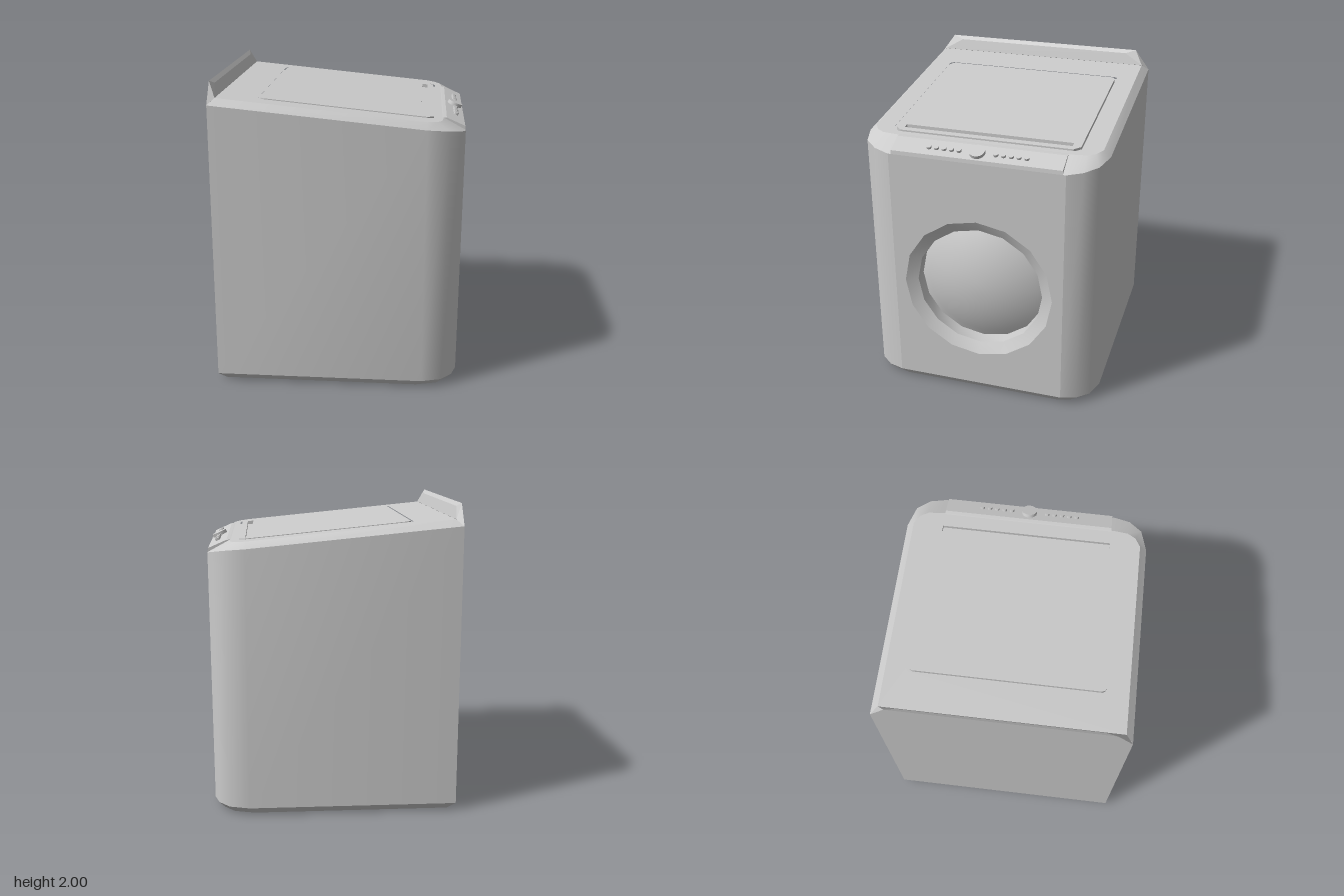
import * as THREE from 'three';
import { toCreasedNormals } from 'three/addons/utils/BufferGeometryUtils.js';
import { ConvexGeometry } from 'three/addons/geometries/ConvexGeometry.js';

const material = new THREE.MeshStandardMaterial({ color: 0xcccccc });
const SIDES = 16, DOOR_Y = 0.79, DOOR_R = 0.5;

// height of the sloping top, and the slight outward lean of the door face
const topY = (x) => 1.83 - 0.098 * x;
const faceX = (y) => 0.78 + 0.01 * (y - 0.05) / 1.64;

// completes a half outline given for +z, running from the back to the door face
const mirrorZ = (half) => [...half, ...half.slice().reverse().map(([x, z]) => [x, -z])];
const outer = mirrorZ([[-0.8, 0.79], [0.55, 0.79], [0.69, 0.75], [0.76, 0.67], [0.79, 0.57]]);
const inner = mirrorZ([[-0.757, 0.745], [0.55, 0.745], [0.61, 0.71], [0.64, 0.66], [0.65, 0.57]]);

const toShape = (pts) => new THREE.Shape(pts.map(([x, y]) => new THREE.Vector2(x, y)));

// moves each vertex by a rule, then renews the normals
function reshape(geo, rule) {
  const p = geo.attributes.position;
  const v = new THREE.Vector3();
  for (let i = 0; i < p.count; i++) {
    rule(v.fromBufferAttribute(p, i));
    p.setXYZ(i, v.x, v.y, v.z);
  }
  geo.computeVertexNormals();
  return geo;
}

// flat slab that follows the sloping top
function slab(outline, hole, y0, depth) {
  const shape = toShape(outline);
  if (hole) shape.holes.push(toShape(hole));
  const geo = new THREE.ExtrudeGeometry(shape, { depth, bevelEnabled: false });
  geo.rotateX(-Math.PI / 2);
  return reshape(geo, (v) => { v.y += y0 + topY(v.x); });
}

// rectangular lid outline with cut corners
function lidOutline(grow) {
  const x0 = -0.5 - grow, x1 = 0.59 + grow, z = 0.605 + grow, b = 0.025, f = 0.04;
  return mirrorZ([[x0, z - b], [x0 + 0.008, z - 0.008], [x0 + b, z], [x1 - f, z], [x1, z - f]]);
}

// cabinet walls: bottom chamfer, sides, top chamfer
function cabinetGeometry() {
  const rimY = (x, z) => {
    if (x > 0.78) return 1.69;
    return x > 0.75 ? 1.705 : 1.788 - 0.097 * x;
  };
  const loops = [
    outer.map(([x, z]) => [x * 0.94, 0, z * 0.94]),
    outer.map(([x, z]) => [x > 0.6 ? x - 0.01 : x, 0.05, z]),
    outer.map(([x, z]) => [x, rimY(x, z), z]),
    inner.map(([x, z]) => [x, topY(x), z]),
  ];
  const n = outer.length, pos = [];
  for (let l = 0; l < 3; l++) {
    for (let i = 0; i < n; i++) {
      if (l === 1 && i === n / 2 - 1) continue; // left open for the door face
      const j = (i + 1) % n;
      const [a, b, c, d] = [loops[l][i], loops[l][j], loops[l + 1][j], loops[l + 1][i]];
      pos.push(...a, ...b, ...c, ...a, ...c, ...d);
    }
  }
  for (let i = 0; i < n; i++) pos.push(0, 0, 0, ...loops[0][(i + 1) % n], ...loops[0][i]);
  const geo = new THREE.BufferGeometry();
  geo.setAttribute('position', new THREE.Float32BufferAttribute(pos, 3));
  return toCreasedNormals(geo, 0.6);
}

// door face with its polygonal opening
function doorFaceGeometry() {
  const shape = toShape([[-0.57, 0.05], [0.57, 0.05], [0.57, 1.69], [-0.57, 1.69]]);
  const ring = [];
  for (let i = 0; i < SIDES; i++) {
    const a = (i / SIDES) * Math.PI * 2;
    ring.push([DOOR_R * Math.sin(a), DOOR_Y + DOOR_R * Math.cos(a)]);
  }
  shape.holes.push(toShape(ring));
  const geo = new THREE.ShapeGeometry(shape);
  geo.rotateY(Math.PI / 2);
  return reshape(geo, (v) => { v.x = faceX(v.y); });
}

// round part on the door axis, from [radius, depth] points
function doorLathe(points, crease) {
  const geo = new THREE.LatheGeometry(points.map(([r, d]) => new THREE.Vector2(r, d)), SIDES);
  geo.rotateZ(-Math.PI / 2);
  geo.translate(0, DOOR_Y, 0);
  return toCreasedNormals(reshape(geo, (v) => { v.x += faceX(v.y); }), crease);
}

export function createModel() {
  const model = new THREE.Group();
  const add = (name, geo, parent = model) => {
    const mesh = new THREE.Mesh(geo, material);
    mesh.name = name;
    parent.add(mesh);
    return mesh;
  };

  add('cabinet', cabinetGeometry());
  add('doorFace', doorFaceGeometry());

  // recessed round door
  add('doorRecess', doorLathe([[DOOR_R, 0], [0.425, -0.04], [0.425, -0.14]], 0.5));
  const dome = [];
  for (let i = 0; i <= 8; i++) {
    const t = i / 8;
    dome.push([0.425 * (1 - t), -0.13 + 0.11 * (1 - (1 - t) ** 2)]);
  }
  add('doorGlass', doorLathe(dome, 0.6));

  // top plate, with a lid set in a thin groove and a grip slot in the lid
  const slot = [[0.51, -0.55], [0.55, -0.55], [0.55, 0.55], [0.51, 0.55]];
  add('topPlate', slab(inner, lidOutline(0.014), -0.02, 0.02));
  add('lid', slab(lidOutline(0), slot, -0.02, 0.023));
  add('grooveFloor', slab(lidOutline(0.03), null, -0.03, 0.01));

  // raised back edge with slanted ends
  const edge = [];
  for (const s of [1, -1]) {
    edge.push(
      new THREE.Vector3(-0.8, 1.865, 0.79 * s), new THREE.Vector3(-0.8, 2, 0.69 * s),
      new THREE.Vector3(-0.757, 1.905, 0.745 * s), new THREE.Vector3(-0.78, 1.977, 0.62 * s));
  }
  add('backEdge', new ConvexGeometry(edge));

  // sloping control panel
  const panel = toShape([[0.62, 1.7], [0.79, 1.69], [0.787, 1.715], [0.67, 1.766], [0.65, 1.767], [0.62, 1.767]]);
  const panelGeo = new THREE.ExtrudeGeometry(panel, { depth: 1.1, bevelEnabled: false });
  panelGeo.translate(0, 0, -0.55);
  add('controlPanel', panelGeo);

  // dial with a row of buttons on either side
  const controls = new THREE.Group();
  controls.name = 'controls';
  model.add(controls);
  const place = (name, radius, height, segments, x, z) => {
    const geo = toCreasedNormals(new THREE.CylinderGeometry(radius, radius, height, segments), 0.8);
    const mesh = add(name, geo, controls);
    mesh.position.set(x, 1.766 - 0.436 * (x - 0.67) + height * 0.3, z);
    mesh.rotation.z = -Math.atan(0.436);
  };
  place('dial', 0.05, 0.03, 20, 0.735, 0);
  for (const side of [1, -1]) {
    for (let i = 0; i < 5; i++) place('button', 0.016, 0.02, 10, 0.735, side * (0.118 + i * 0.049));
  }

  return model;
}
